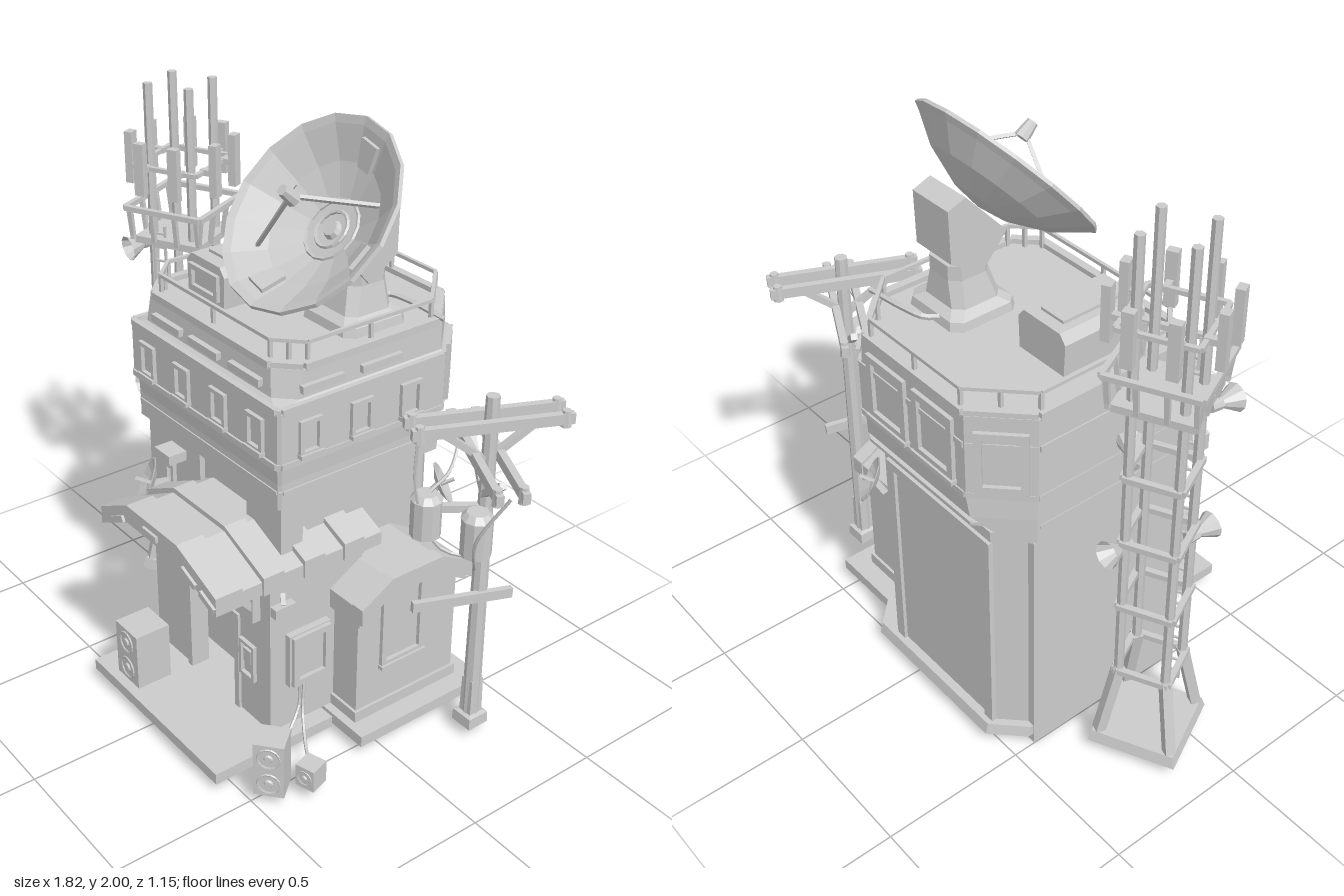
import * as THREE from 'three';

const mat = new THREE.MeshStandardMaterial({ color: 0xcccccc, flatShading: true });
const thin = new THREE.MeshStandardMaterial({ color: 0xcccccc, flatShading: true, side: THREE.DoubleSide });
const V = (p) => new THREE.Vector3(...p);

function add(parent, name, geo, pos = [0, 0, 0], rot = [0, 0, 0], m = mat) {
  const mesh = new THREE.Mesh(geo, m);
  mesh.name = name;
  mesh.position.set(...pos);
  mesh.rotation.set(...rot);
  parent.add(mesh);
}
function group(parent, name, pos = [0, 0, 0], rot = [0, 0, 0]) {
  const g = new THREE.Group();
  g.name = name;
  g.position.set(...pos);
  g.rotation.set(...rot);
  parent.add(g);
  return g;
}
// Box given by its min and max corners
const box = (p, name, x0, x1, y0, y1, z0, z1) =>
  add(p, name, new THREE.BoxGeometry(x1 - x0, y1 - y0, z1 - z0), [(x0 + x1) / 2, (y0 + y1) / 2, (z0 + z1) / 2]);
const cyl = (p, name, r0, r1, h, n, pos, rot) => add(p, name, new THREE.CylinderGeometry(r0, r1, h, n), pos, rot);
// Square beam between two points
function beam(p, name, a, b, w, h = w) {
  const A = V(a), B = V(b);
  const mesh = new THREE.Mesh(new THREE.BoxGeometry(w, h, A.distanceTo(B)), mat);
  mesh.name = name;
  mesh.position.copy(A).lerp(B, 0.5);
  mesh.lookAt(B);
  p.add(mesh);
}
function loop(p, name, pts, y, w, h) {
  pts.forEach(([x, z], i) => {
    const [u, v] = pts[(i + 1) % pts.length];
    beam(p, name, [x, y, z], [u, y, v], w, h);
  });
}
const square = (s) => [[-s, s], [s, s], [s, -s], [-s, -s]];
const cable = (p, pts, r = 0.006) =>
  add(p, 'cable', new THREE.TubeGeometry(new THREE.CatmullRomCurve3(pts.map(V)), 14, r, 5));
// Rectangle with cut corners: cb at the back, cf at the front
const oct = (x0, x1, z0, z1, cb, cf) => [[x0 + cf, z1], [x1 - cf, z1], [x1, z1 - cf], [x1, z0 + cb],
  [x1 - cb, z0], [x0 + cb, z0], [x0, z0 + cb], [x0, z1 - cf]];
// Closed solid through stacked outlines [y, outline]
function loft(p, name, rings) {
  const v = [], n = rings[0][1].length;
  const P = (k, i) => [rings[k][1][i % n][0], rings[k][0], rings[k][1][i % n][1]];
  const tri = (a, b, c) => v.push(...a, ...b, ...c);
  for (let k = 0; k + 1 < rings.length; k++) for (let i = 0; i < n; i++) {
    tri(P(k, i), P(k, i + 1), P(k + 1, i + 1));
    tri(P(k, i), P(k + 1, i + 1), P(k + 1, i));
  }
  for (let i = 1, t = rings.length - 1; i + 1 < n; i++) {
    tri(P(0, 0), P(0, i + 1), P(0, i));
    tri(P(t, 0), P(t, i), P(t, i + 1));
  }
  const geo = new THREE.BufferGeometry();
  geo.setAttribute('position', new THREE.Float32BufferAttribute(v, 3));
  geo.computeVertexNormals();
  add(p, name, geo);
}
const shapeOf = (pts) => new THREE.Shape(pts.map(([x, y]) => new THREE.Vector2(x, y)));
const extrude = (s, depth) => new THREE.ExtrudeGeometry(s, { depth, bevelEnabled: false });
const rectPts = (w, h) => [[-w / 2, -h / 2], [w / 2, -h / 2], [w / 2, h / 2], [-w / 2, h / 2]];
// Raised frame with border b, facing +z before turning
function frameUnit(p, name, pos, ry, w, h, b, sill = false) {
  const g = group(p, name, pos, [0, ry, 0]);
  const s = shapeOf(rectPts(w, h));
  s.holes.push(shapeOf(rectPts(w - 2 * b, h - 2 * b)));
  add(g, 'frame', extrude(s, 0.014));
  if (sill) add(g, 'sill', new THREE.BoxGeometry(w * 1.05, 0.014, 0.024), [0, -h / 2, 0.01]);
}
// Faceted arch band: a0..a1 eaves, f0..f1 flat crown
const archBand = (a0, a1, f0, f1, ye, yt, t, depth) => extrude(shapeOf([[a0, ye - t], [f0, yt - t], [f1, yt - t],
  [a1, ye - t], [a1, ye], [f1, yt], [f0, yt], [a0, ye]]), depth);

function smallDish(p, pos, rot, r) {
  const g = group(p, 'smallDish', pos, rot);
  const prof = [[0, -0.3], [0.5, -0.22], [1, 0], [0.94, 0.03], [0.5, -0.15], [0, -0.22]];
  add(g, 'bowl', new THREE.LatheGeometry(prof.map(([a, b]) => new THREE.Vector2(a * r, b * r)), 12), [0, 0, 0], [0, 0, 0], thin);
  beam(g, 'feedArm', [0, -0.2 * r, 0], [0, 0.5 * r, 0], 0.01);
  beam(g, 'mount', [0, -0.25 * r, 0], [0, -0.8 * r, -0.3 * r], 0.02);
}
function horn(p, pos, rot) {
  const g = group(p, 'hornSpeaker', pos, rot);
  add(g, 'bell', new THREE.CylinderGeometry(0.045, 0.015, 0.06, 10, 1, true), [0, 0.03, 0], [0, 0, 0], thin);
  cyl(g, 'driver', 0.02, 0.02, 0.04, 8, [0, -0.02, 0]);
}
function speaker(p, pos, ry, w, h, d, cones) {
  const g = group(p, 'speakerBox', pos, [0, ry, 0]);
  box(g, 'cabinet', -w / 2, w / 2, 0, h, -d / 2, d / 2);
  for (let i = 0; i < cones; i++) {
    const y = h * (i + 0.5) / cones, r = Math.min(w, h / cones) * 0.4;
    add(g, 'coneRing', new THREE.TorusGeometry(r * 0.9, r * 0.1, 5, 14), [0, y, d / 2]);
    cyl(g, 'cone', r * 0.3, r * 0.5, 0.012, 12, [0, y, d / 2], [Math.PI / 2, 0, 0]);
  }
}

function buildTower(root) {
  const g = group(root, 'tower');
  const body = oct(-0.49, 0.25, -0.5, 0.18, 0.1, 0.01);
  loft(g, 'towerBody', [[0.04, body], [0.9, body]]);
  loft(g, 'plinth', [[0.04, oct(-0.495, 0.3, -0.54, 0.18, 0.1, 0.01)], [0.08, oct(-0.495, 0.3, -0.53, 0.18, 0.1, 0.01)]]);
  box(g, 'foundation', -0.4, 0.22, 0, 0.04, -0.43, 0.15);
  box(g, 'leftWall', -0.497, -0.4, 0, 0.88, -0.42, 0.2);
  box(g, 'neckPillar', 0.11, 0.295, 0.7, 0.9, 0.14, 0.225);
  box(g, 'neckPillar', -0.4, -0.19, 0.7, 0.88, 0.14, 0.2);
  // Raised border of the back wall
  for (const x of [0.11, -0.375]) box(g, 'backPilaster', x - 0.02, x + 0.02, 0.08, 0.86, -0.512, -0.495);
  box(g, 'backBorder', -0.39, 0.13, 0.83, 0.86, -0.512, -0.495);
  loft(g, 'cabin', [[0.88, oct(-0.5, 0.3, -0.47, 0.235, 0.06, 0.01)], [0.97, oct(-0.5, 0.3, -0.55, 0.235, 0.14, 0.01)],
    [1.04, oct(-0.5, 0.305, -0.555, 0.24, 0.15, 0.01)], [1.05, oct(-0.5, 0.325, -0.555, 0.255, 0.15, 0.01)],
    [1.23, oct(-0.5, 0.325, -0.555, 0.255, 0.15, 0.01)], [1.25, oct(-0.5, 0.305, -0.555, 0.225, 0.15, 0.06)],
    [1.34, oct(-0.5, 0.3, -0.555, 0.215, 0.15, 0.07)]]);
  loop(g, 'neckBand', oct(-0.495, 0.298, -0.54, 0.232, 0.14, 0.01), 0.94, 0.015, 0.012);
  loop(g, 'cabinSill', oct(-0.495, 0.322, -0.552, 0.255, 0.15, 0.01), 1.05, 0.015, 0.02);
  loop(g, 'cabinCornice', oct(-0.495, 0.318, -0.55, 0.25, 0.15, 0.01), 1.235, 0.02, 0.02);
  loop(g, 'parapet', oct(-0.488, 0.288, -0.545, 0.205, 0.15, 0.07), 1.345, 0.028, 0.025);
  for (const x of [-0.39, -0.19, 0.015, 0.21]) frameUnit(g, 'frontWindow', [x, 1.13, 0.255], 0, 0.085, 0.12, 0.014, true);
  for (const z of [0.14, -0.06, -0.26]) frameUnit(g, 'sideWindow', [0.325, 1.13, z], Math.PI / 2, 0.085, 0.12, 0.014, true);
  for (const x of [-0.21, 0.02]) frameUnit(g, 'backWindow', [x, 1.19, -0.555], Math.PI, 0.19, 0.23, 0.025, true);
  frameUnit(g, 'cornerWindow', [0.25, 1.16, -0.48], Math.PI * 0.75, 0.15, 0.2, 0.022);
  frameUnit(g, 'cornerWindow', [-0.425, 1.18, -0.48], -Math.PI * 0.75, 0.16, 0.22, 0.024);
  for (const x of [-0.31, -0.1, 0.12]) box(g, 'louvre', x - 0.08, x + 0.08, 1.27, 1.295, 0.2, 0.24);
  for (const z of [0.08, -0.15]) box(g, 'louvre', 0.29, 0.32, 1.27, 1.295, z - 0.08, z + 0.08);
  // Roof railing
  const rail = oct(-0.48, 0.275, -0.54, 0.19, 0.16, 0.08);
  loop(g, 'railing', rail, 1.415, 0.012);
  rail.forEach(([x, z], i) => {
    const [u, v] = rail[(i + 1) % 8];
    for (const t of [0, 0.5]) beam(g, 'railPost', [x + (u - x) * t, 1.34, z + (v - z) * t], [x + (u - x) * t, 1.415, z + (v - z) * t], 0.012);
  });
  cable(g, [[0.06, 1.36, -0.32], [0.08, 1.37, -0.37], [0.16, 1.37, -0.39], [0.32, 1.36, -0.4]], 0.01);
  // Rooftop cooling unit
  add(g, 'coolingUnit', extrude(shapeOf([[-0.1, 0], [0.1, 0], [0.105, 0.11], [0.08, 0.14], [-0.08, 0.14], [-0.105, 0.11]]), 0.31), [-0.29, 1.34, -0.22]);
  box(g, 'coolingLid', -0.34, -0.24, 1.47, 1.49, -0.18, 0.04);
  frameUnit(g, 'coolingGrille', [-0.29, 1.405, 0.09], 0, 0.16, 0.09, 0.018);
}

function buildDish(root) {
  const g = group(root, 'dishAssembly');
  const sq = (x, z, w, d) => oct(x - w, x + w, z - d, z + d, 0.03, 0.03);
  loft(g, 'pedestal', [[1.34, sq(0.1, -0.21, 0.13, 0.125)], [1.37, sq(0.1, -0.21, 0.125, 0.12)], [1.39, sq(0.1, -0.21, 0.095, 0.09)],
    [1.48, sq(0.1, -0.22, 0.075, 0.075)], [1.53, sq(0.1, -0.22, 0.075, 0.075)]]);
  add(g, 'dishHead', extrude(shapeOf([[0.1, 1.6], [0.2, 1.485], [0.31, 1.56], [0.315, 1.74], [0.25, 1.765]]), 0.17), [0.015, 0, 0], [0, Math.PI / 2, 0]);
  const d = group(g, 'dish', [0.115, 1.74, -0.02], [0.856, 0, 0]);
  const prof = [[0, -0.145], [0.1, -0.13], [0.22, -0.08], [0.31, -0.015], [0.335, 0], [0.33, 0.012], [0.305, 0], [0.21, -0.065], [0.1, -0.112], [0, -0.12]];
  add(d, 'bowl', new THREE.LatheGeometry(prof.map(([x, y]) => new THREE.Vector2(x, y)), 16), [0, 0, 0], [0, 0, 0], thin);
  for (let i = 0; i < 4; i++) {
    const q = group(d, 'bowlPanel', [0, 0, 0], [0, i * Math.PI / 2 - 0.2, 0]);
    const s = shapeOf([[-0.042, -0.045], [0.042, -0.045], [0.03, 0.045], [-0.03, 0.045]]);
    add(q, 'panel', extrude(s, 0.014), [0, -0.042, 0.238], [-2.16, 0, 0]);
  }
  for (const r of [0.1, 0.06]) add(d, 'hubRing', new THREE.TorusGeometry(r, 0.007, 5, 16), [0, -0.11, 0], [Math.PI / 2, 0, 0]);
  cyl(d, 'hub', 0.025, 0.035, 0.02, 10, [0, -0.112, 0]);
  cyl(d, 'receiver', 0.018, 0.026, 0.06, 8, [0.02, 0.13, 0]);
  beam(d, 'feedStrut', [0.02, 0.12, 0], [-0.19, -0.055, 0.16], 0.012);
  beam(d, 'feedStrut', [0.02, 0.12, 0], [0.17, -0.07, -0.117], 0.012);
}

function buildHall(root) {
  const g = group(root, 'entranceHall');
  box(g, 'groundSlab', -0.33, 0.41, 0.04, 0.08, 0.1, 0.57);
  box(g, 'sideSlab', 0.2, 0.55, 0.04, 0.08, -0.45, 0.09);
  const wall = shapeOf([[-0.3, 0.08], [-0.095, 0.08], [-0.095, 0.44], [0.165, 0.44], [0.165, 0.08], [0.35, 0.08], [0.35, 0.68], [0.15, 0.76], [-0.14, 0.76], [-0.3, 0.68]]);
  add(g, 'frontWall', extrude(wall, 0.05), [0, 0, 0.26]);
  box(g, 'sideWall', -0.3, -0.25, 0.08, 0.68, 0.15, 0.27);
  box(g, 'sideWall', 0.22, 0.35, 0.08, 0.68, -0.06, 0.27);
  for (const x of [-0.105, 0.175]) box(g, 'doorJamb', x - 0.012, x + 0.012, 0.08, 0.45, 0.25, 0.32);
  box(g, 'doorLintel', -0.117, 0.187, 0.435, 0.46, 0.25, 0.32);
  // Ribbed roof: alternating raised and low bands
  for (let i = 0; i < 8; i++) {
    const e = i % 2 ? 0.018 : 0;
    add(g, 'roofBand', archBand(-0.305 + e / 2, 0.36 - e / 2, -0.14, 0.15, 0.705 - e, 0.79 - e, 0.065 - e, i ? 0.08 : 0.1), [0, 0, 0.42 - i * 0.08]);
  }
  for (const [x, y, a] of [[-0.19, 0.725, 0.48], [0.005, 0.765, 0], [0.22, 0.72, -0.38], [0.32, 0.685, -0.38]])
    add(g, 'roofTrim', new THREE.BoxGeometry(0.08, 0.022, 0.02), [x, y - 0.01, 0.52], [0, 0, a]);
  for (const x of [-0.18, 0.28]) {
    box(g, 'roofBracket', x - 0.018, x + 0.018, 0.5, 0.7, 0.3, 0.34);
    beam(g, 'roofBrace', [x, 0.54, 0.32], [x, 0.69, 0.46], 0.025);
  }
  box(g, 'doorLamp', -0.01, 0.08, 0.465, 0.515, 0.3, 0.35);
  frameUnit(g, 'keypad', [0.235, 0.31, 0.31], 0, 0.08, 0.14, 0.012);
  box(g, 'keypadButtons', 0.215, 0.255, 0.3, 0.35, 0.305, 0.32);
  // Meter cabinet on the right wall
  box(g, 'meterCabinet', 0.35, 0.375, 0.25, 0.45, 0.085, 0.25);
  frameUnit(g, 'meterDoor', [0.375, 0.35, 0.168], Math.PI / 2, 0.15, 0.19, 0.022);
  beam(g, 'cameraArm', [0.35, 0.61, 0.26], [0.38, 0.59, 0.28], 0.015);
  box(g, 'camera', 0.365, 0.395, 0.56, 0.595, 0.24, 0.32);
  box(g, 'wallLamp', -0.36, -0.27, 0.785, 0.82, 0.18, 0.27);
  beam(g, 'lampPipe', [-0.34, 0.62, 0.21], [-0.34, 0.79, 0.21], 0.015);
  smallDish(g, [-0.37, 0.69, 0.3], [1.1, 0, 0.5], 0.088);
  smallDish(g, [0.25, 0.69, -0.5], [-1.0, 0, -0.6], 0.08);
  // Side annex
  box(g, 'annexBody', 0.2, 0.47, 0.08, 0.56, -0.37, 0.05);
  add(g, 'annexRoof', archBand(-0.07, 0.39, 0.05, 0.26, 0.55, 0.62, 0.07, 0.27), [0.23, 0, 0], [0, Math.PI / 2, 0]);
  add(g, 'annexRoofRim', archBand(-0.075, 0.395, 0.05, 0.26, 0.56, 0.632, 0.06, 0.05), [0.47, 0, 0], [0, Math.PI / 2, 0]);
  frameUnit(g, 'annexWindow', [0.47, 0.41, -0.135], Math.PI / 2, 0.18, 0.3, 0.02, true);
  box(g, 'annexSkirting', 0.2, 0.48, 0.08, 0.12, -0.38, 0.06);
  speaker(g, [-0.165, 0.08, 0.47], 0, 0.13, 0.21, 0.13, 2);
  speaker(g, [-0.28, 0.08, 0.36], -0.2, 0.08, 0.08, 0.08, 1);
  speaker(g, [0.52, 0.04, 0.43], 0.7, 0.1, 0.2, 0.1, 2);
  speaker(g, [0.59, 0.05, 0.33], 0.3, 0.07, 0.08, 0.07, 1);
  cable(g, [[0.36, 0.25, 0.2], [0.36, 0.15, 0.2], [0.4, 0.08, 0.28], [0.48, 0.06, 0.4]]);
  cable(g, [[0.36, 0.25, 0.18], [0.38, 0.13, 0.2], [0.46, 0.07, 0.25], [0.57, 0.07, 0.31]]);
}

function buildMast(root) {
  const g = group(root, 'antennaMast', [-0.695, 0, -0.1], [0, 0.45, 0]);
  loft(g, 'mastBase', [[0.04, square(0.15)], [0.08, square(0.14)]]);
  for (const [x, z] of square(0.078)) {
    beam(g, 'legFoot', [x * 1.55, 0.08, z * 1.55], [x, 0.35, z], 0.034);
    cyl(g, 'mastLeg', 0.016, 0.016, 1.6, 6, [x, 1.14, z]);
  }
  for (const y of [0.34, 0.62, 0.88, 1.13]) loop(g, 'mastFrame', square(0.09), y, 0.02);
  box(g, 'platform', -0.125, 0.125, 1.385, 1.41, -0.125, 0.125);
  loop(g, 'platformRail', square(0.146), 1.515, 0.018);
  loop(g, 'antennaRail', square(0.12), 1.66, 0.015);
  for (let i = 0; i < 4; i++) {
    const s = group(g, 'mastSide', [0, 0, 0], [0, i * Math.PI / 2, 0]);
    for (const x of [-0.13, -0.045, 0.045, 0.13]) beam(s, 'platformPost', [x, 1.4, 0.128], [x, 1.515, 0.142], 0.015);
    for (const x of [-0.065, 0.065]) {
      box(s, 'panelAntenna', x - 0.018, x + 0.018, 1.58, 1.76, 0.15, 0.178);
      box(s, 'antennaBracket', x - 0.01, x + 0.01, 1.65, 1.67, 0.11, 0.155);
    }
  }
  // Ladder
  for (const x of [-0.067, -0.023]) beam(g, 'ladderRail', [x, 0.19, 0.095], [x, 1.45, 0.095], 0.008);
  for (let y = 0.22; y < 1.44; y += 0.05) beam(g, 'ladderRung', [-0.067, y, 0.095], [-0.023, y, 0.095], 0.007);
  horn(g, [-0.13, 1.36, 0.07], [1.7, 0, 0.5]);
  horn(g, [-0.09, 0.84, 0.09], [1.5, 0, 0.5]);
  horn(g, [0.09, 0.85, -0.08], [-1.4, 0, -0.4]);
  horn(g, [0.12, 1.09, 0.06], [1.2, 0, -0.5]);
}

function buildPole(root) {
  const g = group(root, 'utilityPole', [0.66, 0, -0.29]);
  loft(g, 'poleBase', [[0.04, square(0.042)], [0.08, square(0.04)], [0.085, square(0.026)], [0.22, square(0.024)]]);
  cyl(g, 'pole', 0.022, 0.03, 1.19, 8, [0, 0.675, 0]);
  // Paired cross-arms with insulators
  for (const [name, y, ry, half] of [['upperArm', 1.19, 1.15, 0.255], ['lowerArm', 1.07, -0.47, 0.27]]) {
    const a = group(g, name, [0, y, 0.01], [0, ry, 0]);
    for (const z of [-0.04, 0.04]) {
      box(a, 'crossBeam', -half, half, -0.018, 0.018, z - 0.012, z + 0.012);
      for (const x of [-0.9, 0.9]) cyl(a, 'insulator', 0.014, 0.018, 0.055, 8, [x * half, 0, z]);
    }
    for (const s of [-1, 1]) beam(a, 'armBrace', [0, -0.14, 0], [s * 0.17, -0.01, 0], 0.022);
  }
  for (const [x, z] of [[-0.105, 0.15], [0.07, 0.1]]) {
    cyl(g, 'transformer', 0.05, 0.05, 0.13, 10, [x, 0.85, z]);
    cyl(g, 'transformerLid', 0.035, 0.053, 0.02, 10, [x, 0.925, z]);
    beam(g, 'transformerArm', [0, 0.88, 0], [x, 0.88, z], 0.025);
  }
  beam(g, 'stepPlank', [-0.05, 0.575, 0.24], [0.055, 0.555, -0.09], 0.02, 0.035);
  cable(g, [[-0.09, 1.18, 0.21], [-0.1, 0.95, 0.2], [-0.06, 0.75, 0.13], [0, 0.7, 0.03]]);
  cable(g, [[0.22, 1.06, 0.12], [0.13, 0.88, 0.16], [0.08, 0.74, 0.11], [0, 0.68, 0.03]]);
  cable(g, [[-0.22, 1.06, -0.1], [-0.15, 0.95, 0.01], [-0.1, 0.94, 0.14]]);
}

export function createModel() {
  const root = new THREE.Group();
  root.name = 'radioStation';
  buildTower(root);
  buildDish(root);
  buildHall(root);
  buildMast(root);
  buildPole(root);
  return root;
}
